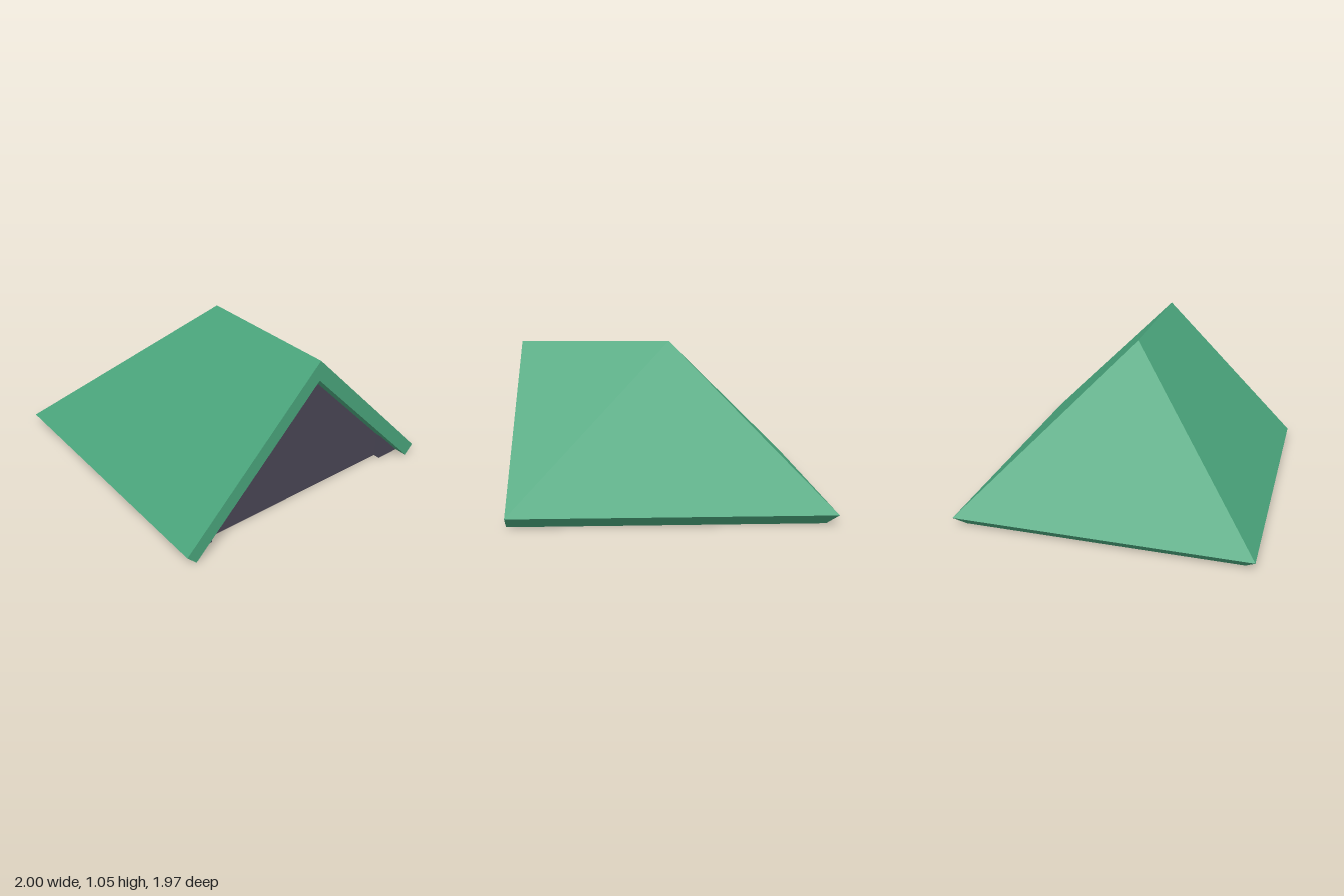
import * as THREE from 'three';

const RIDGE_START = -0.015, END = 1;

// Corners of one hip roof skin: eaves at the gable and hip ends, and the ridge
function skin(halfWidth, hipX, eaveY, ridgeY) {
  return {
    gableFront: [END, eaveY, halfWidth], gableBack: [END, eaveY, -halfWidth],
    hipFront: [hipX, eaveY, halfWidth], hipBack: [hipX, eaveY, -halfWidth],
    ridgeGable: [END, ridgeY, 0], ridgeHip: [RIDGE_START, ridgeY, 0],
  };
}

// Flat-shaded geometry from counter-clockwise polygons
function fromPolygons(polygons) {
  const points = [];
  for (const p of polygons)
    for (let i = 1; i < p.length - 1; i++) points.push(...p[0], ...p[i], ...p[i + 1]);
  const geometry = new THREE.BufferGeometry();
  geometry.setAttribute('position', new THREE.Float32BufferAttribute(points, 3));
  geometry.computeVertexNormals();
  return geometry;
}

function roofGeometry() {
  const outer = skin(0.985, -1, 0.067, 1.054);
  const inner = skin(0.92, -0.935, 0, 0.92);
  const slopes = (s) => [
    [s.hipFront, s.gableFront, s.ridgeGable, s.ridgeHip],
    [s.gableBack, s.hipBack, s.ridgeHip, s.ridgeGable],
    [s.hipBack, s.hipFront, s.ridgeHip],
  ];
  // Rim that joins both skins round the eaves and up the gable
  const loop = ['gableBack', 'hipBack', 'hipFront', 'gableFront', 'ridgeGable'];
  const rim = loop.map((a, i) => {
    const b = loop[(i + 1) % loop.length];
    return [outer[a], inner[a], inner[b], outer[b]];
  });
  return fromPolygons([...slopes(outer), ...slopes(inner).map((p) => p.reverse()), ...rim]);
}

// Profile in the gable plane, extruded along x from x0 to x1
function gablePrism(points, x0, x1) {
  const shape = new THREE.Shape(points.map(([z, y]) => new THREE.Vector2(-z, y)));
  return new THREE.ExtrudeGeometry(shape, { depth: x1 - x0, bevelEnabled: false })
    .rotateY(Math.PI / 2).translate(x0, 0, 0);
}

export function createModel() {
  const green = new THREE.MeshStandardMaterial({ name: 'roofGreen', color: 0x4aa57c });
  const grey = new THREE.MeshStandardMaterial({ name: 'wallGrey', color: 0x494655 });
  const model = new THREE.Group();
  const add = (name, geometry, material) => {
    const mesh = new THREE.Mesh(geometry, material);
    mesh.name = name;
    model.add(mesh);
  };

  add('roof', roofGeometry(), green);

  // Recessed gable wall, with a corner block standing proud at each foot
  add('gableWall', gablePrism([[-0.919, 0], [0.919, 0], [0, 0.919]], 0.8, 0.865), grey);
  for (const [name, s] of [['frontCorner', 1], ['backCorner', -1]])
    add(name, gablePrism([[0.74 * s, 0], [0.919 * s, 0], [0.74 * s, 0.179]], 0.8, 0.91), grey);

  // Underside closing the attic
  const floor = new THREE.PlaneGeometry(1.8, 1.84).rotateX(Math.PI / 2).translate(-0.035, 0, 0);
  add('floor', floor, grey);

  return model;
}
